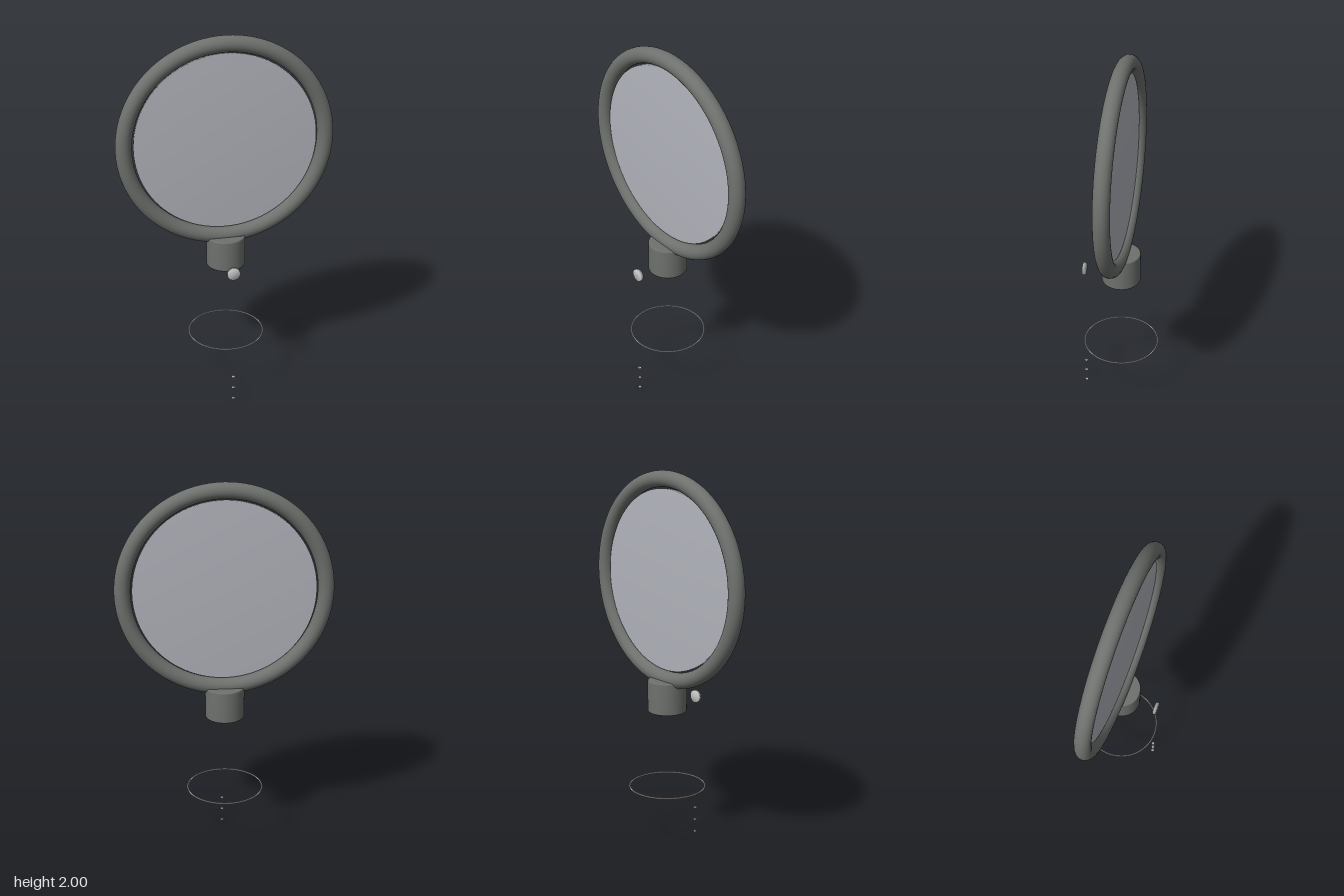
import * as THREE from 'three';

const frameMat = new THREE.MeshStandardMaterial({ color: 0x6e716e });
frameMat.name = 'dark grey frame';
const glassMat = new THREE.MeshStandardMaterial({ color: 0xb2b4bc });
glassMat.name = 'silver glass';
const metalMat = new THREE.MeshStandardMaterial({ color: 0xc6c6c6 });
metalMat.name = 'light metal';

const V = (x, y) => new THREE.Vector2(x, y);

// Solid of revolution with softly shaded rims, standing on y
function softDisc(radius, half, segments) {
  return new THREE.LatheGeometry([V(0, -half), V(radius, -half), V(radius, half), V(0, half)], segments);
}

function add(group, name, geometry, material, x, y, z) {
  const mesh = new THREE.Mesh(geometry, material);
  mesh.name = name;
  mesh.position.set(x, y, z);
  group.add(mesh);
  return mesh;
}

export function createModel() {
  const model = new THREE.Group();
  model.name = 'roundMirror';

  // Round frame and the glass inside it
  const centreY = 1.437;
  add(model, 'mirrorFrame', new THREE.TorusGeometry(0.521, 0.042, 24, 96), frameMat, 0, centreY, 0);
  add(model, 'mirrorGlass', softDisc(0.472, 0.01, 96), glassMat, 0, centreY, 0).rotation.x = Math.PI / 2;

  // Neck socket with a narrow bevel at both ends
  const r = 0.103, h = 0.086, b = 0.007;
  const socket = new THREE.LatheGeometry([
    V(0, -h), V(r - b, -h), V(r - b, -h), V(r - b * 0.3, -h + b * 0.3), V(r, -h + b),
    V(r, h - b), V(r - b * 0.3, h - b * 0.3), V(r - b, h), V(r - b, h), V(0, h),
  ].filter((p, i, a) => i === 0 || !p.equals(a[i - 1])), 48);
  add(model, 'neckSocket', socket, frameMat, 0, 0.827, 0);

  // Round button in front of the socket
  add(model, 'button', softDisc(0.034, 0.009, 32), metalMat, 0, 0.783, 0.199).rotation.x = Math.PI / 2;

  // Thin trim ring
  add(model, 'trimRing', new THREE.TorusGeometry(0.201, 0.004, 10, 96), metalMat, 0, 0.323, 0).rotation.x = Math.PI / 2;

  // Row of tiny indicator dots
  for (let i = 0; i < 3; i++) {
    add(model, 'indicatorDot', softDisc(0.009, 0.003, 16), metalMat, 0, 0.004 + i * 0.07, 0.2);
  }
  return model;
}
